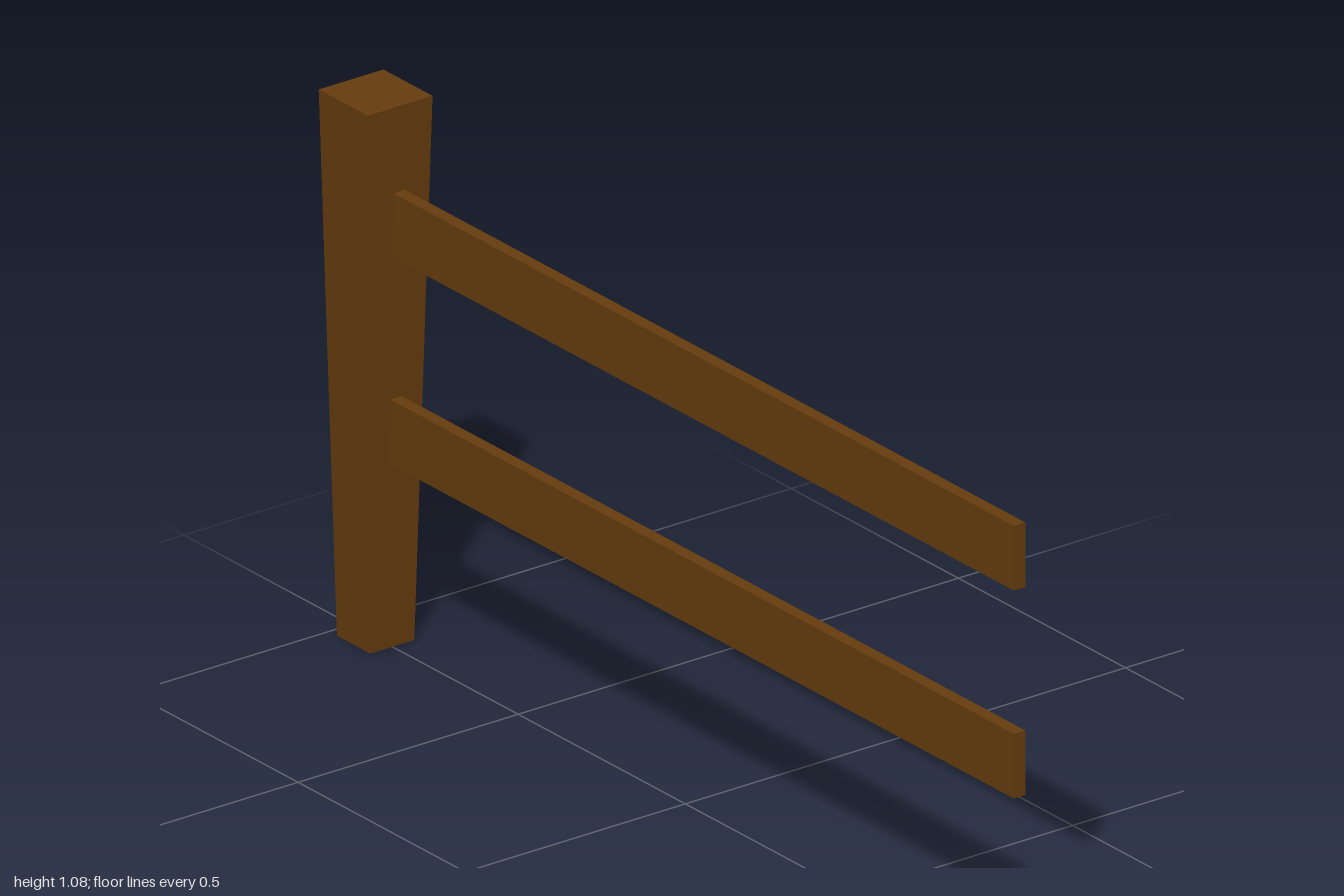
import * as THREE from 'three';

export function createModel() {
  const model = new THREE.Group();
  model.name = 'fenceSection';
  const wood = new THREE.MeshStandardMaterial({ color: 0x663c0e, side: THREE.DoubleSide });
  wood.name = 'brown wood';

  const HEIGHT = 1.08, TOP = 0.147, BOTTOM = 0.1, POST_X = -0.9265;

  // Square post, narrower at the foot, hollow underneath
  const postGeometry = new THREE.BoxGeometry(TOP, HEIGHT, TOP);
  const p = postGeometry.attributes.position;
  for (let i = 0; i < p.count; i++) {
    if (p.getY(i) < 0) {
      p.setX(i, p.getX(i) * BOTTOM / TOP);
      p.setZ(i, p.getZ(i) * BOTTOM / TOP);
    }
  }
  const index = Array.from(postGeometry.index.array);
  index.splice(18, 6); // remove the underside
  postGeometry.setIndex(index);
  postGeometry.clearGroups();
  const flatPost = postGeometry.toNonIndexed();
  flatPost.computeVertexNormals();
  const post = new THREE.Mesh(flatPost, wood);
  post.name = 'post';
  post.position.set(POST_X, HEIGHT / 2, 0);
  model.add(post);

  // Two thin rails let into the post
  const start = -0.9, end = 1;
  for (const [name, y] of [['lowerRail', 0.433], ['upperRail', 0.845]]) {
    const rail = new THREE.Mesh(new THREE.BoxGeometry(end - start, 0.128, 0.026), wood);
    rail.name = name;
    rail.position.set((start + end) / 2, y, 0);
    model.add(rail);
  }
  return model;
}
